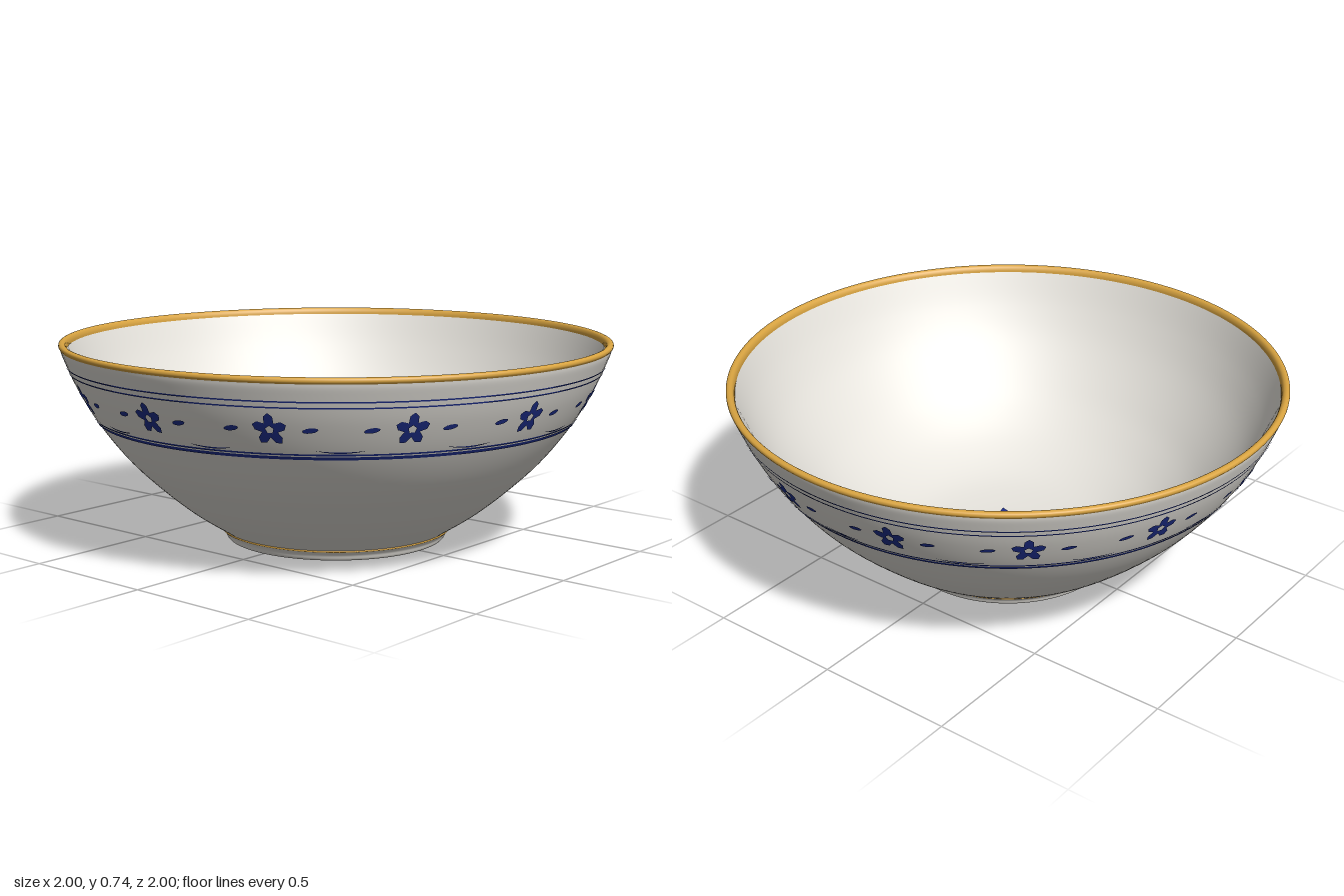
import * as THREE from 'three';

const mat = (name, color) => {
  const m = new THREE.MeshStandardMaterial({ color });
  m.name = name;
  return m;
};
const V = (x, y) => new THREE.Vector2(x, y);
const SEG = 128;
const FLOWERS = 13;

// Smooth curve through [radius, height] points
const smooth = (pts, n = 48) =>
  new THREE.SplineCurve(pts.map(([r, y]) => V(r, y))).getPoints(n);

const outerWall = smooth([
  [0.425, 0.042], [0.55, 0.125], [0.68, 0.235], [0.78, 0.337],
  [0.872, 0.46], [0.94, 0.58], [0.985, 0.685], [0.995, 0.716],
]);
const innerWall = smooth([
  [0.97, 0.712], [0.915, 0.59], [0.845, 0.47], [0.75, 0.35],
  [0.65, 0.25], [0.52, 0.16], [0.36, 0.095], [0.18, 0.072], [0, 0.07],
]);

// Outer radius at a given height
function radiusAt(y) {
  const i = Math.max(1, outerWall.findIndex((p) => p.y >= y));
  const a = outerWall[i - 1], b = outerWall[i];
  return a.x + ((b.x - a.x) * (y - a.y)) / (b.y - a.y);
}

// Closed star whose radii alternate through the given list
function star(points, radii, start) {
  const n = points * radii.length;
  return new THREE.Shape(Array.from({ length: n }, (_, i) => {
    const a = start + (i / n) * Math.PI * 2, r = radii[i % radii.length];
    return V(Math.cos(a) * r, Math.sin(a) * r);
  }));
}

// Wrap a flat shape onto the outer wall around (angle, height)
function wrap(shape, angle, height) {
  const g = new THREE.ShapeGeometry(shape, 6);
  const p = g.attributes.position;
  for (let i = 0; i < p.count; i++) {
    const y = height + p.getY(i);
    const r = radiusAt(y) + 0.004;
    const a = angle + p.getX(i) / r;
    p.setXYZ(i, Math.sin(a) * r, y, Math.cos(a) * r);
  }
  g.computeVertexNormals();
  return g;
}

export function createModel() {
  const white = mat('porcelain', 0xf2efe8);
  const gold = mat('gold', 0xd9a441);
  const blue = mat('cobalt blue', 0x1e2f8c);
  const bowl = new THREE.Group();
  bowl.name = 'bowl';

  const add = (name, geometry, material, parent = bowl) => {
    const m = new THREE.Mesh(geometry, material);
    m.name = name;
    parent.add(m);
    return m;
  };
  const lathe = (name, pts, material) =>
    add(name, new THREE.LatheGeometry(pts, SEG), material);

  // Body: recessed base, rounded foot ring, walls
  lathe('base', [V(0, 0.028), V(0.335, 0.028)], white);
  lathe('footRing', smooth([
    [0.335, 0.028], [0.345, 0.01], [0.36, 0.001], [0.378, 0],
    [0.398, 0.001], [0.406, 0.008], [0.412, 0.022], [0.425, 0.036],
  ], 24), white);
  lathe('outerWall', outerWall, white);
  lathe('innerWall', innerWall, white);

  // Gilded lines
  lathe('footLine', [V(0.425, 0.036), V(0.428, 0.039), V(0.425, 0.042)], gold);
  lathe('rim', smooth([
    [0.995, 0.716], [1, 0.724], [0.998, 0.733], [0.988, 0.737],
    [0.978, 0.733], [0.972, 0.723], [0.97, 0.712],
  ], 24), gold);

  // Painted border lines
  [[0.455, 0.466], [0.47, 0.476], [0.634, 0.639], [0.654, 0.659]].forEach(([lo, hi], i) =>
    lathe('borderLine' + (i + 1),
      [V(radiusAt(lo) + 0.003, lo), V(radiusAt(hi) + 0.003, hi)], blue));

  // Flower motif shapes
  const flower = star(5, [0.058, 0.048, 0.027, 0.048], Math.PI / 2);
  flower.holes.push(star(5, [0.014], Math.PI / 2));
  const leaf = new THREE.Shape();
  leaf.absellipse(0, 0, 0.026, 0.009, 0, Math.PI * 2, false, 0.15);
  const sprig = new THREE.Shape();
  sprig.moveTo(-0.08, 0.008);
  sprig.quadraticCurveTo(0, -0.012, 0.08, 0.008);
  sprig.quadraticCurveTo(0, -0.002, -0.08, 0.008);

  // Thirteen flowers with leaves and a sprig between neighbours
  const step = (Math.PI * 2) / FLOWERS;
  for (let k = 0; k < FLOWERS; k++) {
    const a = -Math.PI / 2 + k * step;
    const motif = new THREE.Group();
    motif.name = 'flowerMotif';
    bowl.add(motif);
    add('flower', wrap(flower, a, 0.56), blue, motif);
    for (const s of [-1, 1]) add('leaf', wrap(leaf, a + s * 0.138, 0.56), blue, motif);
    add('sprig', wrap(sprig, a + step / 2, 0.481), blue, motif);
  }

  // Eight-petalled rosette in the well
  const rosette = star(8, [0.145, 0.118, 0.064, 0.118], 0);
  // Narrow the petal shoulders towards each petal axis
  rosette.curves.length = 0;
  const outline = [];
  for (let k = 0; k < 8; k++) {
    const c = (k * Math.PI) / 4;
    for (const [r, d] of [[0.066, -Math.PI / 8], [0.115, -0.16], [0.145, 0], [0.115, 0.16]])
      outline.push(V(Math.cos(c + d) * r, Math.sin(c + d) * r));
  }
  rosette.setFromPoints(outline);
  rosette.holes.push(star(8, [0.046], Math.PI / 8));
  const flat = (shape) => new THREE.ShapeGeometry(shape).rotateX(-Math.PI / 2).translate(0, 0.078, 0);
  add('rosette', flat(rosette), blue);
  add('rosetteCentre', flat(star(4, [0.024], Math.PI / 4)), blue);

  return bowl;
}
